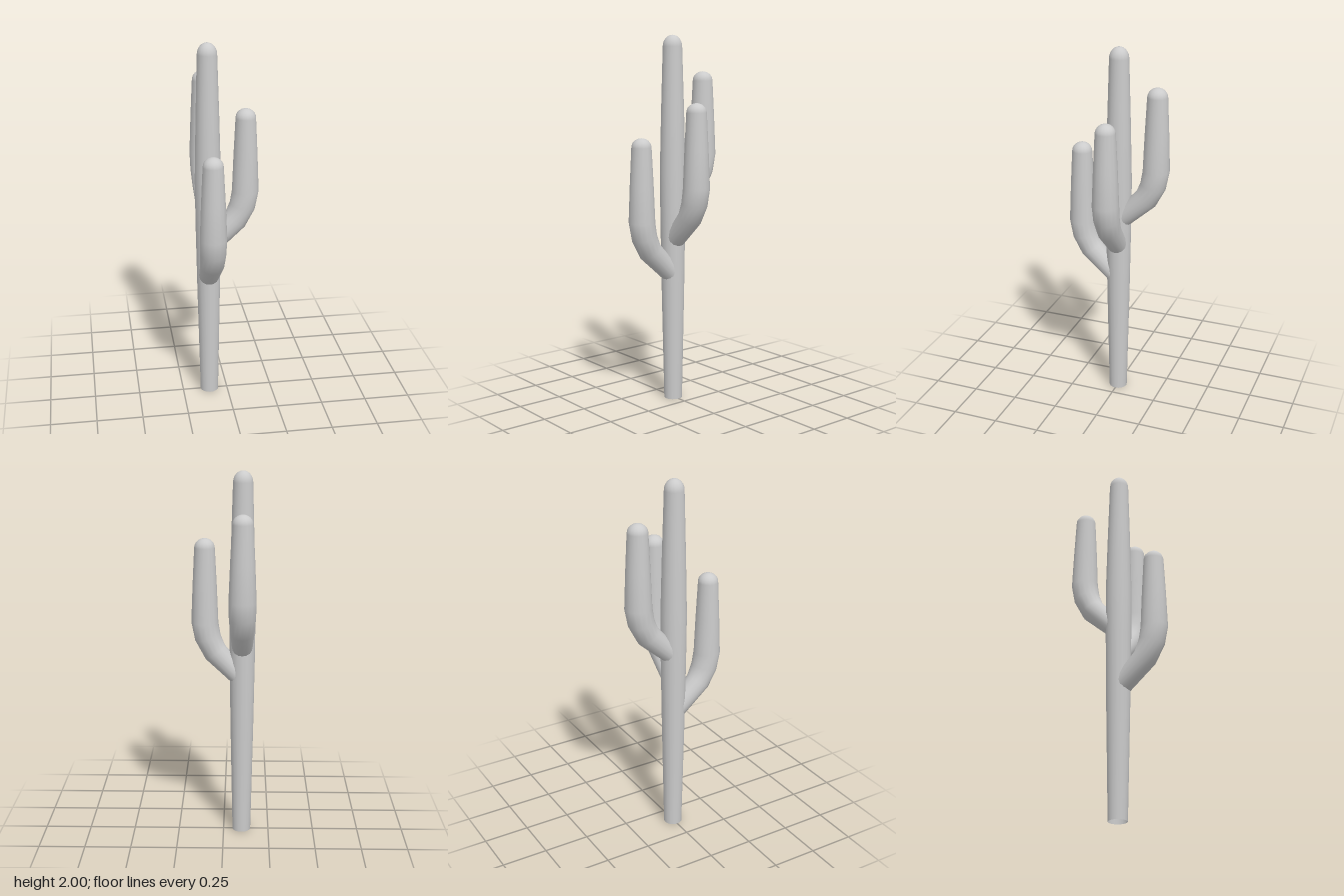
import * as THREE from 'three';
import { mergeVertices } from 'three/addons/utils/BufferGeometryUtils.js';

const SIDES = 16;

// Skin a limb over rings given as [outward distance, height, radius, tilt in degrees]
function loftLimb(rings) {
  const points = [], faces = [];
  rings.forEach(([d, y, r, tilt = 0], i) => {
    const t = THREE.MathUtils.degToRad(tilt);
    for (let j = 0; j < SIDES; j++) {
      const a = (j / SIDES) * Math.PI * 2;
      const across = r * Math.cos(a);
      points.push(d + across * Math.cos(t), y + across * Math.sin(t), r * Math.sin(a));
      if (i === rings.length - 1) continue;
      const p = i * SIDES + j, q = i * SIDES + (j + 1) % SIDES;
      faces.push(p, p + SIDES, q, q, p + SIDES, q + SIDES);
    }
  });
  let geometry = new THREE.BufferGeometry();
  geometry.setAttribute('position', new THREE.Float32BufferAttribute(points, 3));
  geometry.setIndex(faces);
  geometry = mergeVertices(geometry);
  geometry.computeVertexNormals();
  return geometry;
}

// Rounded tip: rings shrinking from a shoulder of the given radius up to the top
function domeRings(d, top, radius, height) {
  const rings = [];
  for (let i = 0; i <= 6; i++) {
    const a = (i / 6) * Math.PI / 2;
    rings.push([d, top - height + height * Math.sin(a), i === 6 ? 0 : radius * Math.cos(a)]);
  }
  return rings;
}

export function createModel() {
  const model = new THREE.Group();
  model.name = 'cactus';
  const material = new THREE.MeshStandardMaterial({ color: 0xcccccc, side: THREE.DoubleSide });

  const plant = new THREE.Group();
  plant.name = 'plant';
  plant.position.x = -0.1;
  model.add(plant);

  // Trunk, slightly swollen in the middle and open underneath
  const trunk = new THREE.Mesh(loftLimb([
    [0, 0, 0.05], [0, 0.6, 0.062], [0, 1.0, 0.068], [0, 1.27, 0.07], [0, 1.6, 0.062],
    ...domeRings(0, 2, 0.052, 0.06),
  ]), material);
  trunk.name = 'trunk';
  plant.add(trunk);

  // Arms: each leaves the trunk at a slant and bends upright at its elbow
  const arms = [
    { name: 'leftArm', elbow: 1.2, reach: 0.2, turn: 0 },
    { name: 'frontArm', elbow: 1.015, reach: 0.21, turn: -Math.PI / 2 },
    { name: 'backArm', elbow: 1.355, reach: 0.21, turn: Math.PI / 2 },
  ];
  for (const { name, elbow, reach, turn } of arms) {
    const arm = new THREE.Mesh(loftLimb([
      [0.02, -0.295, 0.055, -45],
      [reach - 0.055, -0.165, 0.065, -36],
      [reach - 0.016, -0.085, 0.07, -14],
      [reach, 0, 0.072],
      [reach, 0.2, 0.064],
      ...domeRings(reach, 0.45, 0.054, 0.05),
    ]), material);
    arm.name = name;
    arm.position.y = elbow;
    arm.rotation.y = turn;
    plant.add(arm);
  }
  return model;
}
